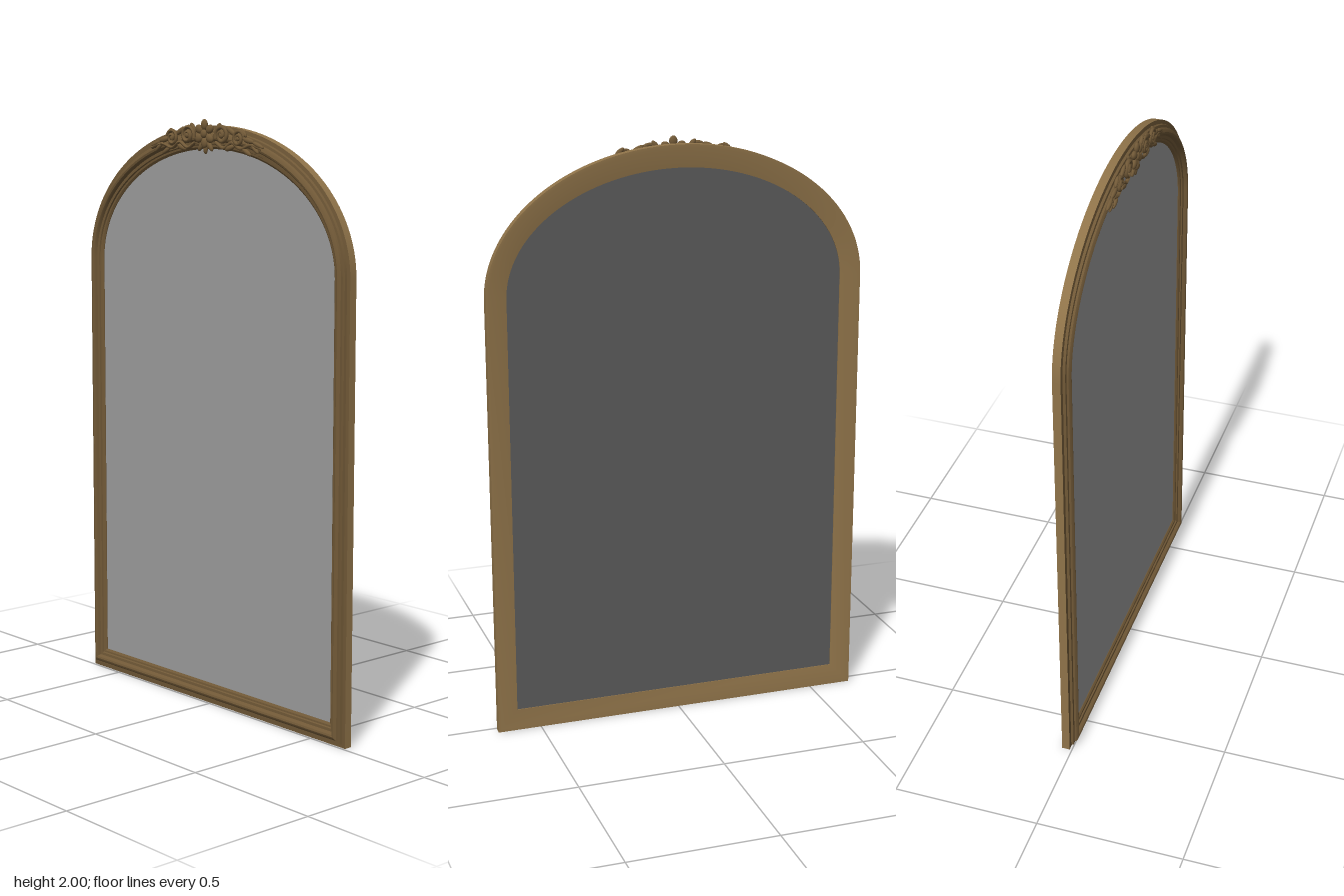
import * as THREE from 'three';
import { toCreasedNormals } from 'three/addons/utils/BufferGeometryUtils.js';

const HALF = 0.65, SPRING = 1.51, RISE = 0.47, ARCH_STEPS = 64;

// Arched outline, inset by d, counter-clockwise from the lower corners
function outline(d) {
  const a = HALF - d, b = RISE - d * 1.1;
  const pts = [new THREE.Vector2(-a, d), new THREE.Vector2(a, d)];
  for (let i = 0; i <= ARCH_STEPS; i++) {
    const t = (i / ARCH_STEPS) * Math.PI;
    pts.push(new THREE.Vector2(a * Math.cos(t), SPRING + b * Math.sin(t)));
  }
  return pts;
}

// Sweep a profile of [inset, z] points round the outline, with mitred corners
function sweepProfile(profile) {
  const pos = [], idx = [], rows = profile.length;
  const rings = profile.map(([d]) => outline(d));
  const n = rings[0].length;
  for (let i = 0; i < n; i++) {
    for (let j = 0; j < rows; j++) pos.push(rings[j][i].x, rings[j][i].y, profile[j][1]);
  }
  for (let i = 0; i < n; i++) {
    for (let j = 0; j < rows - 1; j++) {
      const a = i * rows + j, b = ((i + 1) % n) * rows + j;
      idx.push(a, b, b + 1, a, b + 1, a + 1);
    }
  }
  const geo = new THREE.BufferGeometry();
  geo.setAttribute('position', new THREE.Float32BufferAttribute(pos, 3));
  geo.setIndex(idx);
  return toCreasedNormals(geo, 0.45);
}

export function createModel() {
  const group = new THREE.Group();
  const material = (name, color) => {
    const m = new THREE.MeshStandardMaterial({ color });
    m.name = name;
    return m;
  };
  const bronze = material('bronze', 0x8f7349);
  const darkBronze = material('dark bronze', 0x715937);
  const silver = material('mirror silver', 0x9c9c9c);
  const grey = material('backing grey', 0x5a5a5a);

  const add = (parent, name, geo, mat) => {
    const mesh = new THREE.Mesh(geo, mat);
    mesh.name = name;
    parent.add(mesh);
    return mesh;
  };

  // Frame: plain sides with a sloping back, and a stepped front moulding
  add(group, 'frameBody', sweepProfile([
    [0.07, -0.014], [0.07, -0.024], [0.01, -0.035], [0, -0.035], [0, -0.008],
  ]), bronze);
  add(group, 'frontMoulding', sweepProfile([
    [0, -0.008], [0.012, -0.006], [0.014, 0.002], [0.022, 0.003], [0.024, 0.009],
    [0.029, 0.013], [0.035, 0.015], [0.041, 0.013], [0.045, 0.008], [0.047, 0.002],
    [0.056, 0.001], [0.058, -0.004], [0.064, -0.005], [0.07, -0.010], [0.07, -0.014],
  ]), darkBronze);

  // Mirror glass and backing panel
  const panel = new THREE.ShapeGeometry(new THREE.Shape(outline(0.069)));
  add(group, 'mirrorGlass', panel, silver).position.z = -0.012;
  const backing = add(group, 'backingPanel', panel, grey);
  backing.rotation.y = Math.PI;
  backing.position.z = -0.021;

  // Carved crest
  const crest = new THREE.Group();
  crest.name = 'crest';
  group.add(crest);
  const ball = new THREE.SphereGeometry(1, 14, 10);
  const lobe = (parent, name, x, y, z, length, width, depth, angle) => {
    const m = add(parent, name, ball, darkBronze);
    m.position.set(x, y, z);
    m.scale.set(length, width, depth);
    m.rotation.z = angle;
  };

  // Central rosette
  for (let i = 0; i < 6; i++) {
    const t = Math.PI / 2 + (i * Math.PI) / 3;
    lobe(crest, 'petal', 0.03 * Math.cos(t), 1.953 + 0.03 * Math.sin(t), 0.022, 0.018, 0.014, 0.009, t);
  }
  lobe(crest, 'rosetteCentre', 0, 1.953, 0.025, 0.014, 0.014, 0.008, 0);
  for (const s of [-1, 0, 1]) {
    lobe(crest, 'lowerLeaf', s * 0.022, 1.912 - (s ? 0 : 0.006), 0.017, 0.02, 0.009, 0.007, Math.PI / 2 + s * 0.7);
  }

  // Spiral scroll, tapering towards its eye by way of a thin tube
  const scroll = (x, y, r, start, turns, tube) => {
    const pts = [];
    for (let i = 0; i <= 18; i++) {
      const k = i / 18, t = start + k * turns * Math.PI * 2, q = r * (1 - 0.8 * k);
      pts.push(new THREE.Vector3(x + q * Math.cos(t), y + q * Math.sin(t), 0.02 + 0.004 * k));
    }
    return new THREE.TubeGeometry(new THREE.CatmullRomCurve3(pts), 40, tube, 7);
  };

  // Scrolls and leaves trailing down each side of the arch
  for (const side of [1, -1]) {
    const wing = new THREE.Group();
    wing.name = side > 0 ? 'leftWing' : 'rightWing';
    wing.rotation.y = side > 0 ? 0 : Math.PI;
    crest.add(wing);
    // the second wing is turned round, so its depth is reversed
    const z = (v) => v * side;
    const place = (geo) => (side > 0 ? geo : geo.clone().rotateY(Math.PI).scale(-1, 1, 1).rotateY(0));
    const parts = [
      scroll(0.085, 1.948, 0.032, Math.PI * 1.1, -1.6, 0.007),
      scroll(0.165, 1.938, 0.027, Math.PI * 0.1, 1.6, 0.006),
    ];
    const stem = new THREE.CatmullRomCurve3([
      [0.05, 1.925], [0.09, 1.907], [0.13, 1.925], [0.17, 1.906], [0.22, 1.918], [0.275, 1.905],
    ].map(([x, y]) => new THREE.Vector3(x, y, 0.017)));
    parts.push(new THREE.TubeGeometry(stem, 40, 0.006, 7));
    for (const geo of parts) add(wing, 'scroll', mirrorDepth(place(geo), side), darkBronze);

    const leaves = [
      [0.062, 1.972, 0.02, 0.009, 0.9], [0.125, 1.962, 0.026, 0.009, -0.5],
      [0.12, 1.908, 0.024, 0.009, 0.3], [0.185, 1.957, 0.02, 0.008, -0.7],
      [0.2, 1.896, 0.024, 0.008, -0.5], [0.21, 1.932, 0.026, 0.009, -0.2],
      [0.24, 1.905, 0.022, 0.007, -0.7], [0.255, 1.918, 0.028, 0.007, -0.35],
    ];
    for (const [x, y, l, w, a] of leaves) lobe(wing, 'leaf', x, y, z(0.017), l, w, 0.007, a);
    lobe(wing, 'scrollEye', 0.085, 1.948, z(0.024), 0.01, 0.01, 0.007, 0);
    lobe(wing, 'scrollEye', 0.165, 1.938, z(0.023), 0.008, 0.008, 0.006, 0);
  }
  return group;
}

// Flip a geometry in depth, keeping its faces outward
function mirrorDepth(geo, side) {
  if (side > 0) return geo;
  const g = geo.clone();
  const p = g.attributes.position, ix = g.index.array;
  // the placed copy already lies at negative depth, so only its winding is restored
  for (let i = 0; i < ix.length; i += 3) [ix[i], ix[i + 1]] = [ix[i + 1], ix[i]];
  p.needsUpdate = true;
  g.computeVertexNormals();
  return g;
}
